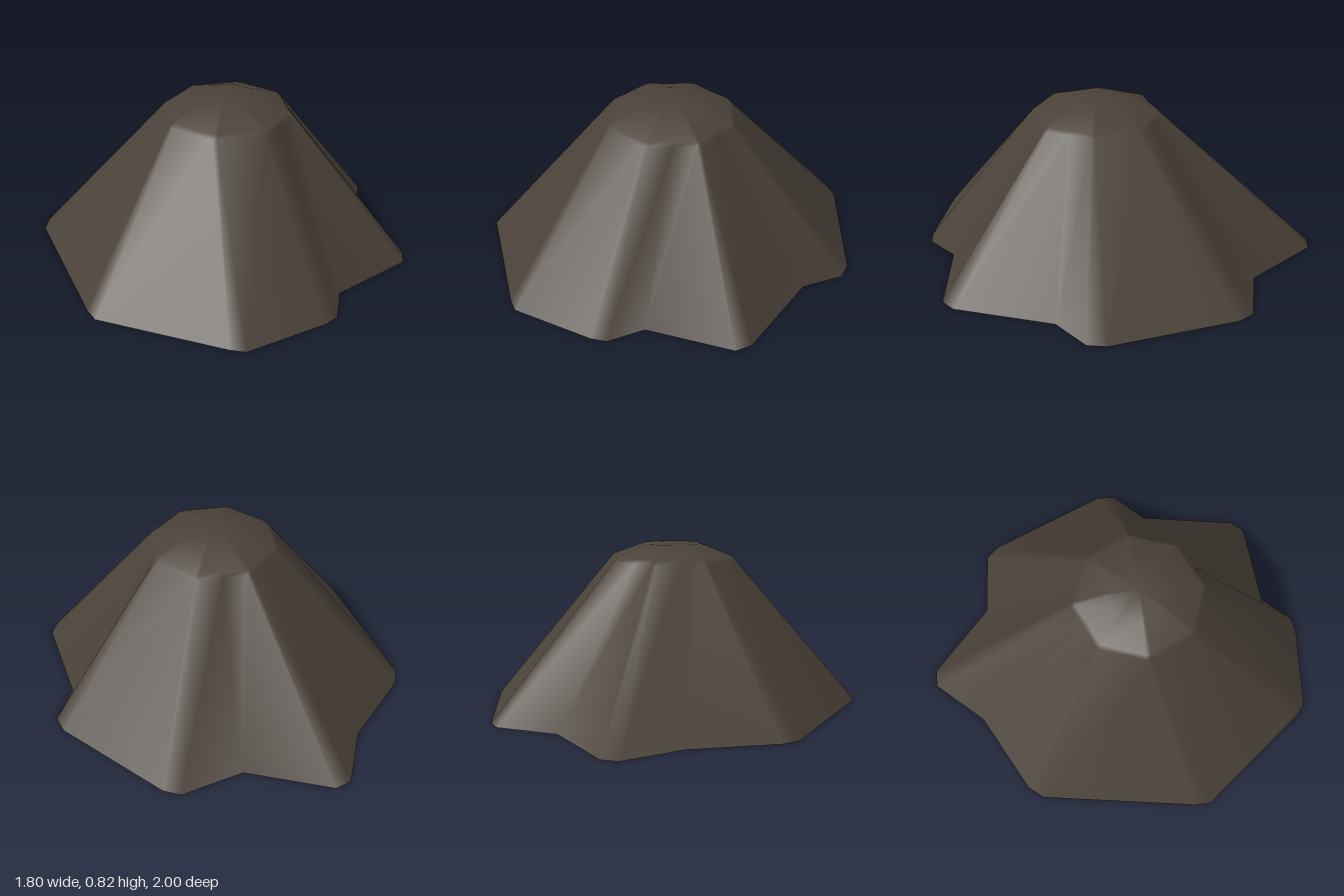
import * as THREE from 'three';

// Each ridge: two foot corners [x, z], then an optional valley foot before the next ridge.
const ridges = [
  [[0.35, -0.92], [0.43, -0.88]],
  [[0.87, -0.40], [0.90, -0.31], [0.81, -0.11]],
  [[0.90, 0.39], [0.87, 0.47], [0.47, 0.66]],
  [[0.40, 0.84], [0.33, 0.88]],
  [[-0.08, 1.00], [-0.15, 0.97]],
  [[-0.72, 0.62], [-0.75, 0.54]],
  [[-0.90, -0.24], [-0.87, -0.33], [-0.57, -0.67]],
  [[-0.45, -0.97], [-0.37, -1.00], [0.04, -0.83]],
];
const centre = 0.04;

// Columns run round the mound: foot position plus direction on the octagonal crown.
function makeColumns() {
  const columns = [];
  ridges.forEach((feet, i) => {
    feet.forEach((foot, k) => {
      const degrees = -67.5 + 45 * i + [-2, 2, 22.5][k];
      const angle = THREE.MathUtils.degToRad(degrees);
      const reach = k === 2 ? Math.cos(Math.PI / 8) : 1;
      columns.push({ foot, dx: Math.cos(angle) * reach, dz: Math.sin(angle) * reach });
    });
  });
  return columns;
}

// Join the rings into a surface; the last ring closes with a fan.
function loft(rings, apex) {
  const n = rings[0].length;
  const positions = rings.flat(2).concat(apex);
  const index = [];
  for (let r = 0; r < rings.length; r++) {
    for (let i = 0; i < n; i++) {
      const a = r * n + i;
      const b = r * n + ((i + 1) % n);
      if (r === rings.length - 1) index.push(a, rings.length * n, b);
      else index.push(a, a + n, b, b, a + n, b + n);
    }
  }
  const geometry = new THREE.BufferGeometry();
  geometry.setAttribute('position', new THREE.Float32BufferAttribute(positions, 3));
  geometry.setIndex(index);
  geometry.computeVertexNormals();
  return geometry;
}

export function createModel() {
  const group = new THREE.Group();
  group.name = 'rockMound';
  const rock = new THREE.MeshStandardMaterial({ color: 0x4a4239, side: THREE.DoubleSide });
  rock.name = 'dark brown rock';

  const columns = makeColumns();
  const crownRing = (radius, y) =>
    columns.map(({ dx, dz }) => [centre + dx * radius, y, centre + dz * radius]);

  // Ridged skirt, rounded shoulder and flat crown, open underneath
  const rings = [
    columns.map(({ foot }) => [foot[0], 0, foot[1]]),
    crownRing(0.33, 0.74),
    crownRing(0.312, 0.76),
    crownRing(0.15, 0.82),
  ];
  const mound = new THREE.Mesh(loft(rings, [centre, 0.82, centre]), rock);
  mound.name = 'mound';
  group.add(mound);
  return group;
}
